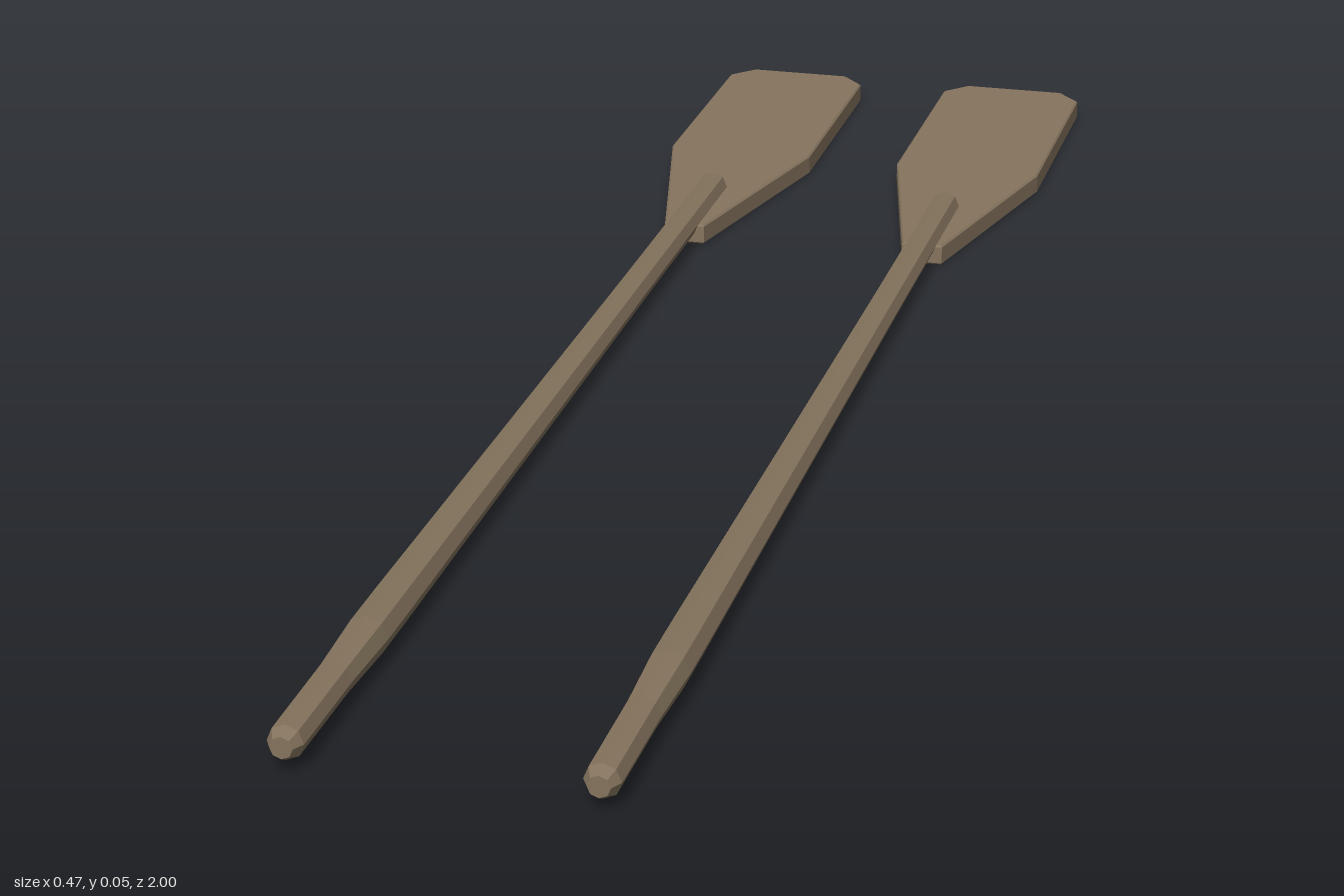
import * as THREE from 'three';

export function createModel() {
  const group = new THREE.Group();
  const wood = new THREE.MeshStandardMaterial({ color: 0x85745e, flatShading: true });
  wood.name = 'weathered wood';

  // Blade outline: half width against distance towards the back
  const half = [[0.024, 0.39], [0.089, 0.67], [0.089, 0.97], [0.062, 1]];
  const mirrored = half.map(([x, d]) => [-x, d]).reverse();
  const outline = new THREE.Shape([...half, ...mirrored].map(([x, d]) => new THREE.Vector2(x, d)));
  const bevel = 0.002;
  const bladeGeometry = new THREE.ExtrudeGeometry(outline, {
    depth: 0.024 - 2 * bevel, bevelEnabled: true, bevelThickness: bevel,
    bevelSize: bevel, bevelOffset: -bevel, bevelSegments: 1,
  });
  bladeGeometry.rotateX(-Math.PI / 2).translate(0, bevel, 0);

  // Eight-sided shaft: radius against z, thickest just ahead of the grip
  const profile = [
    [0, -0.53], [0.017, -0.53], [0.0175, -0.17], [0.0195, 0.3], [0.0215, 0.7],
    [0.0215, 0.77], [0.018, 0.86], [0.0175, 0.988], [0.011, 1], [0, 1],
  ].map(([r, z]) => new THREE.Vector2(r, z));
  const shaftGeometry = new THREE.LatheGeometry(profile, 8);
  shaftGeometry.rotateX(Math.PI / 2).translate(0, 0.025, 0);

  // A matching pair of oars
  for (const [side, x] of [['left', 0.145], ['right', -0.145]]) {
    const oar = new THREE.Group();
    oar.name = `${side}Oar`;
    for (const [name, geometry] of [['blade', bladeGeometry], ['shaft', shaftGeometry]]) {
      const mesh = new THREE.Mesh(geometry, wood);
      mesh.name = name;
      oar.add(mesh);
    }
    oar.position.x = x;
    group.add(oar);
  }
  return group;
}
